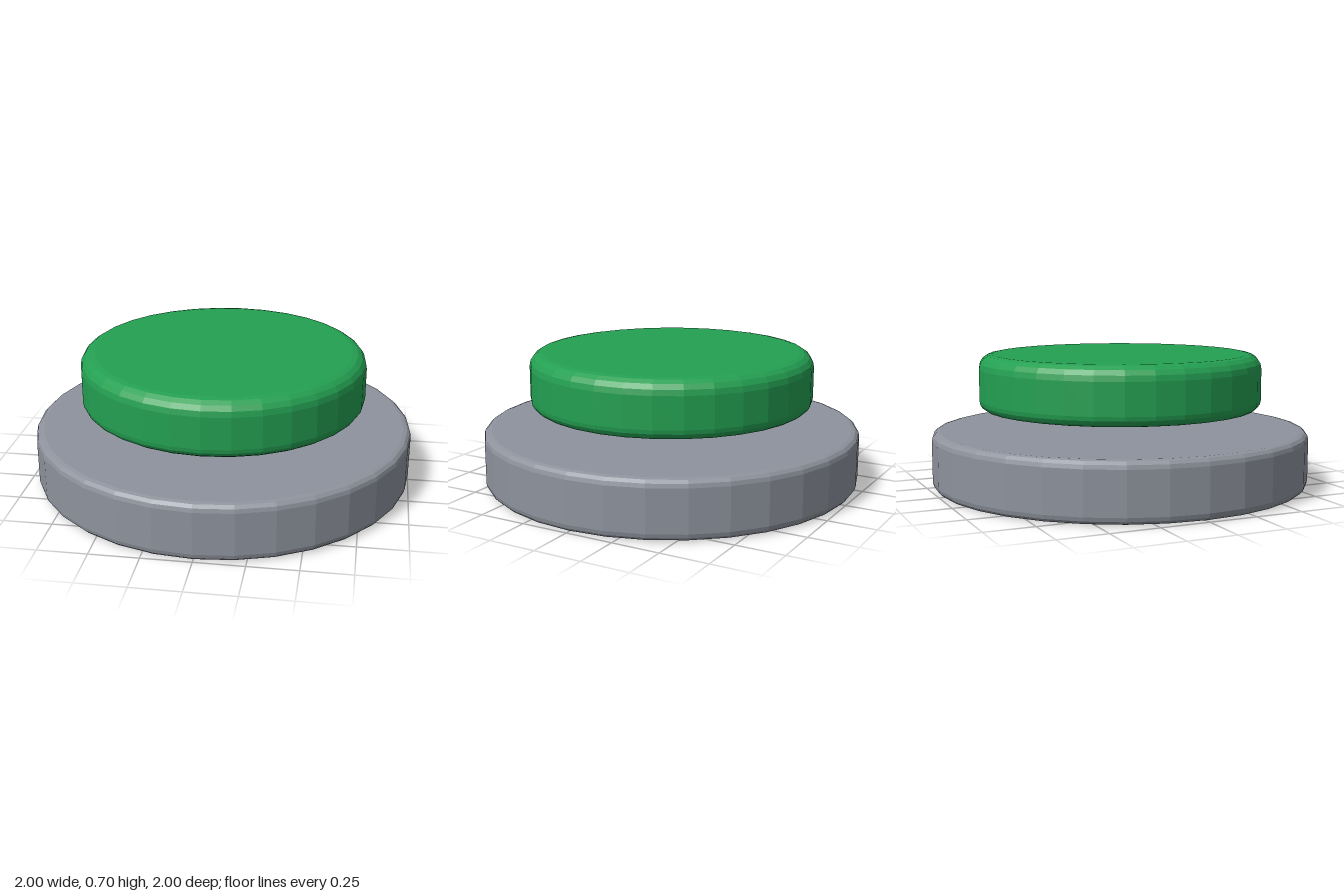
import * as THREE from 'three';

const SIDES = 32;

// Solid disc with rounded rims, turned from a bottom-to-top profile
function roundedDisc(name, radius, y0, y1, bevelBottom, bevelTop, steps, material) {
  const points = [new THREE.Vector2(0, y0)];
  for (let i = 0; i <= steps; i++) {
    const a = (i / steps) * Math.PI / 2;
    points.push(new THREE.Vector2(
      radius - bevelBottom + bevelBottom * Math.sin(a),
      y0 + bevelBottom - bevelBottom * Math.cos(a)));
  }
  for (let i = 0; i <= steps; i++) {
    const a = (i / steps) * Math.PI / 2;
    points.push(new THREE.Vector2(
      radius - bevelTop + bevelTop * Math.cos(a),
      y1 - bevelTop + bevelTop * Math.sin(a)));
  }
  points.push(new THREE.Vector2(0, y1));

  // Separate the faces so that every facet is flat
  const geometry = new THREE.LatheGeometry(points, SIDES).toNonIndexed();
  geometry.computeVertexNormals();
  const mesh = new THREE.Mesh(geometry, material);
  mesh.name = name;
  return mesh;
}

export function createModel() {
  const grey = new THREE.MeshStandardMaterial({ color: 0x8e939d });
  grey.name = 'base grey';
  const green = new THREE.MeshStandardMaterial({ color: 0x24a052 });
  green.name = 'button green';

  const model = new THREE.Group();
  model.name = 'pushButton';

  // Wide base plate
  model.add(roundedDisc('base', 1, 0, 0.3, 0.04, 0.04, 3, grey));
  // Raised cap floating above the base
  model.add(roundedDisc('buttonCap', 0.75, 0.405, 0.7, 0.055, 0.075, 4, green));

  return model;
}
